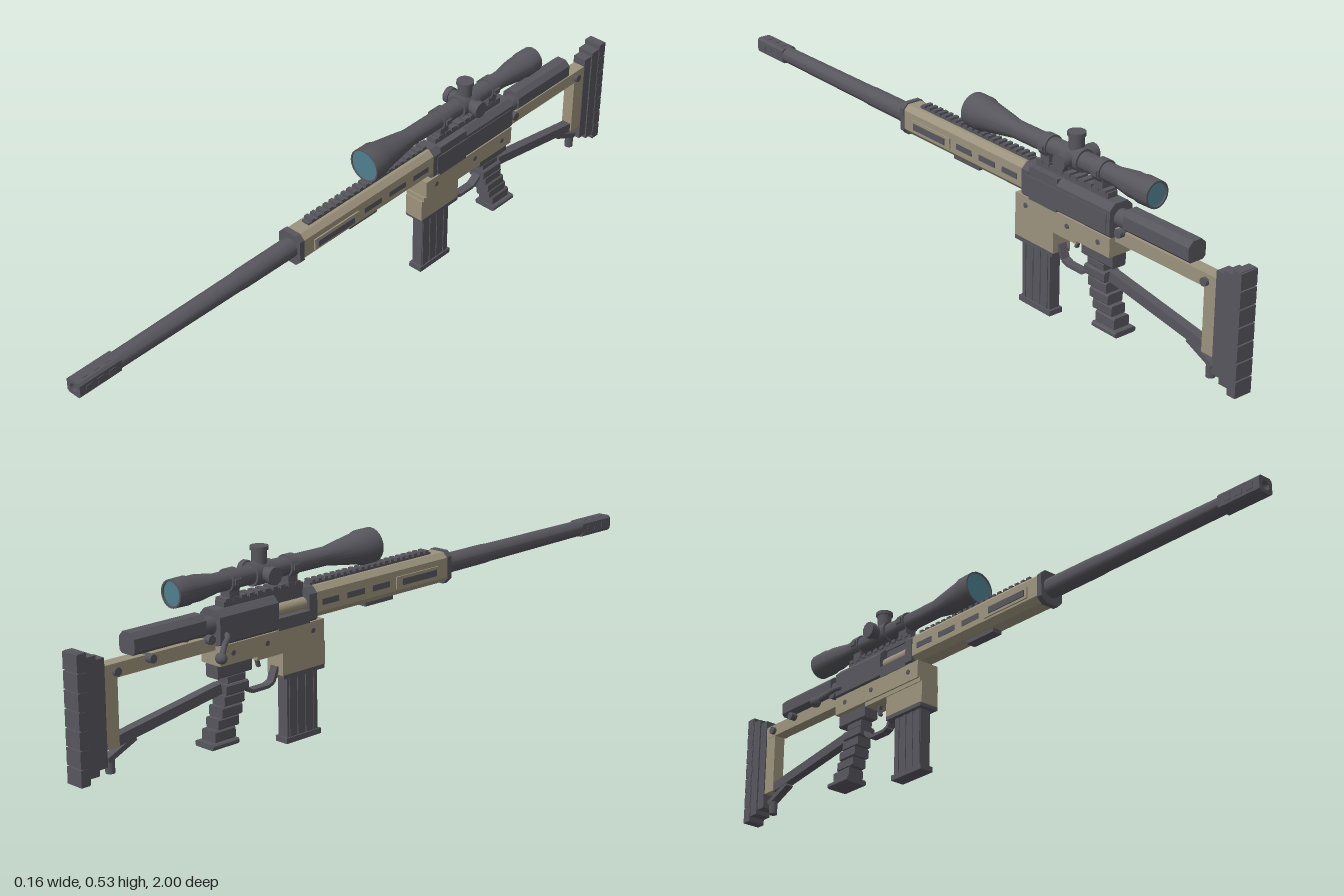
import * as THREE from 'three';
import { toCreasedNormals } from 'three/addons/utils/BufferGeometryUtils.js';

const dark = new THREE.MeshStandardMaterial({ name: 'gunmetal', color: 0x57565d });
const tan = new THREE.MeshStandardMaterial({ name: 'sand', color: 0x9c937d });
const glass = new THREE.MeshStandardMaterial({ name: 'teal glass', color: 0x4f7f8d });

export function createModel() {
  const model = new THREE.Group();
  model.name = 'rifle';
  const body = new THREE.Group();
  body.name = 'rifleBody';
  body.position.x = 0.018;
  model.add(body);

  const add = (name, geo, mat) => {
    const mesh = new THREE.Mesh(geo, mat);
    mesh.name = name;
    body.add(mesh);
    return mesh;
  };
  // box given by half width in x and its limits in y and z
  const box = (name, mat, hw, y0, y1, z0, z1, x = 0) => {
    const m = add(name, new THREE.BoxGeometry(hw * 2, y1 - y0, Math.abs(z1 - z0)), mat);
    m.position.set(x, (y0 + y1) / 2, (z0 + z1) / 2);
    return m;
  };
  // chamfered prism along z
  const prism = (name, mat, hw, y0, y1, z0, z1, top, bottom = top, hole = 0) => {
    const s = new THREE.Shape([
      [-hw + bottom, y0], [hw - bottom, y0], [hw, y0 + bottom], [hw, y1 - top],
      [hw - top, y1], [-hw + top, y1], [-hw, y1 - top], [-hw, y0 + bottom],
    ].map(p => new THREE.Vector2(...p)));
    if (hole) s.holes.push(new THREE.Path().absarc(0, (y0 + y1) / 2, hole, 0, Math.PI * 2, true));
    const g = new THREE.ExtrudeGeometry(s, { depth: z1 - z0, bevelEnabled: false, curveSegments: 8 });
    g.translate(0, 0, z0);
    return add(name, g, mat);
  };
  // turned part along z, profile of [radius, z] from rear to front
  const turned = (name, mat, y, profile) => {
    const g = new THREE.LatheGeometry(profile.map(p => new THREE.Vector2(...p)), 24);
    g.rotateX(Math.PI / 2);
    add(name, toCreasedNormals(g, 0.5), mat).position.y = y;
  };
  const cyl = (name, mat, r, len, x, y, z, axis = 'x', sides = 16) => {
    const g = new THREE.CylinderGeometry(r, r, len, sides);
    if (axis === 'x') g.rotateZ(Math.PI / 2);
    if (axis === 'z') g.rotateX(Math.PI / 2);
    add(name, g, mat).position.set(x, y, z);
  };
  // straight bar between two [y, z] points
  const bar = (name, mat, hw, thick, a, b) => {
    const dy = b[0] - a[0], dz = b[1] - a[1];
    const m = add(name, new THREE.BoxGeometry(hw * 2, thick, Math.hypot(dy, dz)), mat);
    m.position.set(0, (a[0] + b[0]) / 2, (a[1] + b[1]) / 2);
    m.rotation.x = -Math.atan2(dy, dz);
  };

  // barrel and muzzle brake
  turned('barrel', dark, 0.36, [[0, 0.2], [0.028, 0.2], [0.027, 0.45], [0.0255, 0.47], [0.023, 0.87], [0, 0.87]]);
  prism('muzzleBrake', dark, 0.023, 0.338, 0.382, 0.87, 1, 0.006, 0.006, 0.012);
  for (const z of [0.9, 0.935, 0.97]) {
    box('brakeSlot', dark, 0.0245, 0.352, 0.368, z - 0.01, z + 0.01);
    box('brakeTopSlot', dark, 0.01, 0.37, 0.3835, z - 0.008, z + 0.008);
  }

  // handguard
  prism('handguard', tan, 0.035, 0.318, 0.402, -0.235, 0.262, 0.014, 0.016);
  prism('handguardCap', dark, 0.037, 0.313, 0.405, 0.262, 0.278, 0.014, 0.016);
  box('bottomRail', dark, 0.015, 0.306, 0.319, -0.035, 0.07);
  for (const s of [-1, 1]) {
    box('sidePlate', tan, 0.0025, 0.34, 0.372, 0.06, 0.225, s * 0.0365);
    box('sideRail', dark, 0.003, 0.347, 0.365, 0.08, 0.215, s * 0.039);
    box('ventSlot', dark, 0.002, 0.35, 0.366, -0.03, 0.035, s * 0.0345);
    box('ventSlot', dark, 0.002, 0.35, 0.366, -0.125, -0.06, s * 0.0345);
    box('ventSlot', dark, 0.002, 0.35, 0.366, -0.215, -0.155, s * 0.0345);
  }
  box('topRail', dark, 0.012, 0.4, 0.408, -0.235, 0.22);
  for (let i = 0; i < 20; i++) {
    const z = 0.21 - i * 0.0225;
    box('railTooth', dark, 0.014, 0.406, 0.415, z - 0.012, z);
  }

  // receiver, with an open port on the right
  prism('receiverRear', dark, 0.037, 0.313, 0.403, -0.567, -0.37, 0.016, 0.008);
  prism('receiverFront', dark, 0.037, 0.313, 0.403, -0.262, -0.235, 0.016, 0.008);
  box('portFloor', dark, 0.037, 0.313, 0.345, -0.37, -0.262);
  box('portWall', dark, 0.024, 0.345, 0.403, -0.37, -0.262, 0.012);
  cyl('bolt', tan, 0.016, 0.108, -0.012, 0.361, -0.316, 'z');
  box('receiverSidePlate', dark, 0.002, 0.322, 0.378, -0.555, -0.25, 0.037);
  cyl('boltShroud', dark, 0.024, 0.05, 0, 0.362, -0.585, 'z');
  cyl('shroudKnob', dark, 0.012, 0.066, 0, 0.335, -0.59);

  // bolt handle
  const path = new THREE.CatmullRomCurve3([[-0.02, 0.345, -0.545], [-0.045, 0.338, -0.55],
    [-0.06, 0.325, -0.575], [-0.08, 0.304, -0.602]].map(p => new THREE.Vector3(...p)));
  add('boltHandle', new THREE.TubeGeometry(path, 12, 0.0075, 10), dark);
  const knob = add('boltKnob', new THREE.SphereGeometry(0.0165, 14, 10), dark);
  knob.position.set(-0.0795, 0.302, -0.604);
  knob.scale.set(1, 0.9, 0.85);

  // lower chassis and magazine well
  box('chassis', tan, 0.0355, 0.262, 0.314, -0.567, -0.21);
  box('chassisLower', tan, 0.031, 0.25, 0.263, -0.44, -0.205);
  box('magazineWell', tan, 0.0285, 0.188, 0.251, -0.35, -0.2);
  box('wellLip', dark, 0.03, 0.179, 0.19, -0.348, -0.203);
  for (const z of [-0.25, -0.41, -0.525]) cyl('chassisPin', dark, 0.007, 0.075, 0, 0.29, z);

  // magazine with side ribs
  box('magazine', dark, 0.0165, 0.01, 0.18, -0.326, -0.218);
  for (let i = 0; i < 4; i++) box('magazineRib', dark, 0.0188, 0.016, 0.179, -0.232 - i * 0.0287, -0.22 - i * 0.0287);
  box('magazineBase', dark, 0.021, 0, 0.015, -0.332, -0.21);

  // trigger and its guard
  const guard = [[0.21, -0.35], [0.172, -0.366], [0.165, -0.385], [0.165, -0.44], [0.178, -0.46], [0.2, -0.478]];
  for (let i = 1; i < guard.length; i++) bar('triggerGuard', dark, 0.012, 0.009, guard[i - 1], guard[i]);
  bar('trigger', dark, 0.005, 0.009, [0.263, -0.405], [0.24, -0.414]);
  bar('trigger', dark, 0.005, 0.008, [0.242, -0.414], [0.222, -0.408]);

  // stepped grip: y0, y1, z0, z1, half width
  for (const [y0, y1, z0, z1, hw] of [
    [0.226, 0.263, -0.565, -0.45, 0.022], [0.205, 0.228, -0.53, -0.47, 0.019],
    [0.178, 0.206, -0.54, -0.465, 0.025], [0.15, 0.179, -0.545, -0.478, 0.023],
    [0.122, 0.151, -0.555, -0.488, 0.025], [0.094, 0.123, -0.567, -0.498, 0.023],
    [0.064, 0.095, -0.58, -0.512, 0.025], [0.05, 0.065, -0.595, -0.508, 0.034],
  ]) prism('gripSegment', dark, hw, y0, y1, z0, z1, 0.004);

  // skeleton stock
  box('stockBar', tan, 0.018, 0.302, 0.338, -0.92, -0.56);
  box('stockPost', tan, 0.017, 0.13, 0.338, -0.92, -0.875);
  bar('stockStrut', dark, 0.013, 0.027, [0.197, -0.545], [0.142, -0.88]);
  bar('stockLever', dark, 0.012, 0.014, [0.138, -0.82], [0.1, -0.905]);
  cyl('stockFoot', dark, 0.012, 0.04, 0, 0.085, -0.893, 'y');
  cyl('stockKnob', dark, 0.011, 0.055, 0, 0.318, -0.88);
  cyl('cheekKnob', dark, 0.011, 0.035, -0.02, 0.33, -0.78);
  prism('cheekRest', dark, 0.028, 0.345, 0.4, -0.83, -0.604, 0.014, 0.008);
  for (const z of [-0.65, -0.78]) cyl('cheekPost', dark, 0.009, 0.03, 0, 0.338, z, 'y');

  // butt plate and ribbed pad
  box('buttPlate', dark, 0.02, 0.088, 0.36, -0.945, -0.915);
  box('buttSpacer', dark, 0.024, 0.075, 0.372, -0.978, -0.943);
  for (let i = 0; i < 7; i++) {
    const y = 0.06 + i * 0.0469;
    box('padRib', dark, 0.0265, y, y + 0.043, -1, -0.974);
  }
  box('padCore', dark, 0.0255, 0.062, 0.386, -0.995, -0.972);

  // telescopic sight
  turned('scopeTube', dark, 0.465, [
    [0, -0.682], [0.031, -0.682], [0.031, -0.69], [0.036, -0.69], [0.037, -0.645], [0.034, -0.635], [0.034, -0.61],
    [0.025, -0.55], [0.025, -0.17], [0.03, -0.14], [0.042, -0.06], [0.047, -0.045], [0.047, 0], [0.043, 0], [0.043, -0.006], [0, -0.006]]);
  const lens = add('frontLens', new THREE.CircleGeometry(0.0435, 24), glass);
  lens.position.set(0, 0.465, -0.003);
  const rearLens = add('rearLens', new THREE.CircleGeometry(0.0315, 24), glass);
  rearLens.position.set(0, 0.465, -0.685);
  rearLens.rotation.y = Math.PI;

  // adjustment turrets
  cyl('turretBlock', dark, 0.031, 0.065, 0, 0.465, -0.4, 'z');
  cyl('sideTurretStem', dark, 0.019, 0.1, 0, 0.465, -0.4);
  cyl('topTurretStem', dark, 0.02, 0.055, 0, 0.5, -0.4, 'y');
  cyl('topTurretCap', dark, 0.024, 0.01, 0, 0.529, -0.4, 'y');
  for (const s of [-1, 1]) cyl('sideTurretCap', dark, 0.023, 0.016, s * 0.051, 0.465, -0.4);

  // scope mount
  box('mountBase', dark, 0.016, 0.4, 0.418, -0.535, -0.265);
  for (let i = 0; i < 10; i++) box('mountTooth', dark, 0.019, 0.414, 0.424, -0.53 + i * 0.0265, -0.514 + i * 0.0265);
  for (const z of [-0.3, -0.5]) {
    cyl('scopeRing', dark, 0.03, 0.028, 0, 0.465, z, 'z', 20);
    box('ringFoot', dark, 0.017, 0.412, 0.445, z - 0.016, z + 0.016);
    for (const s of [-1, 1]) box('ringClamp', dark, 0.004, 0.458, 0.472, z - 0.01, z + 0.01, s * 0.03);
  }
  return model;
}
